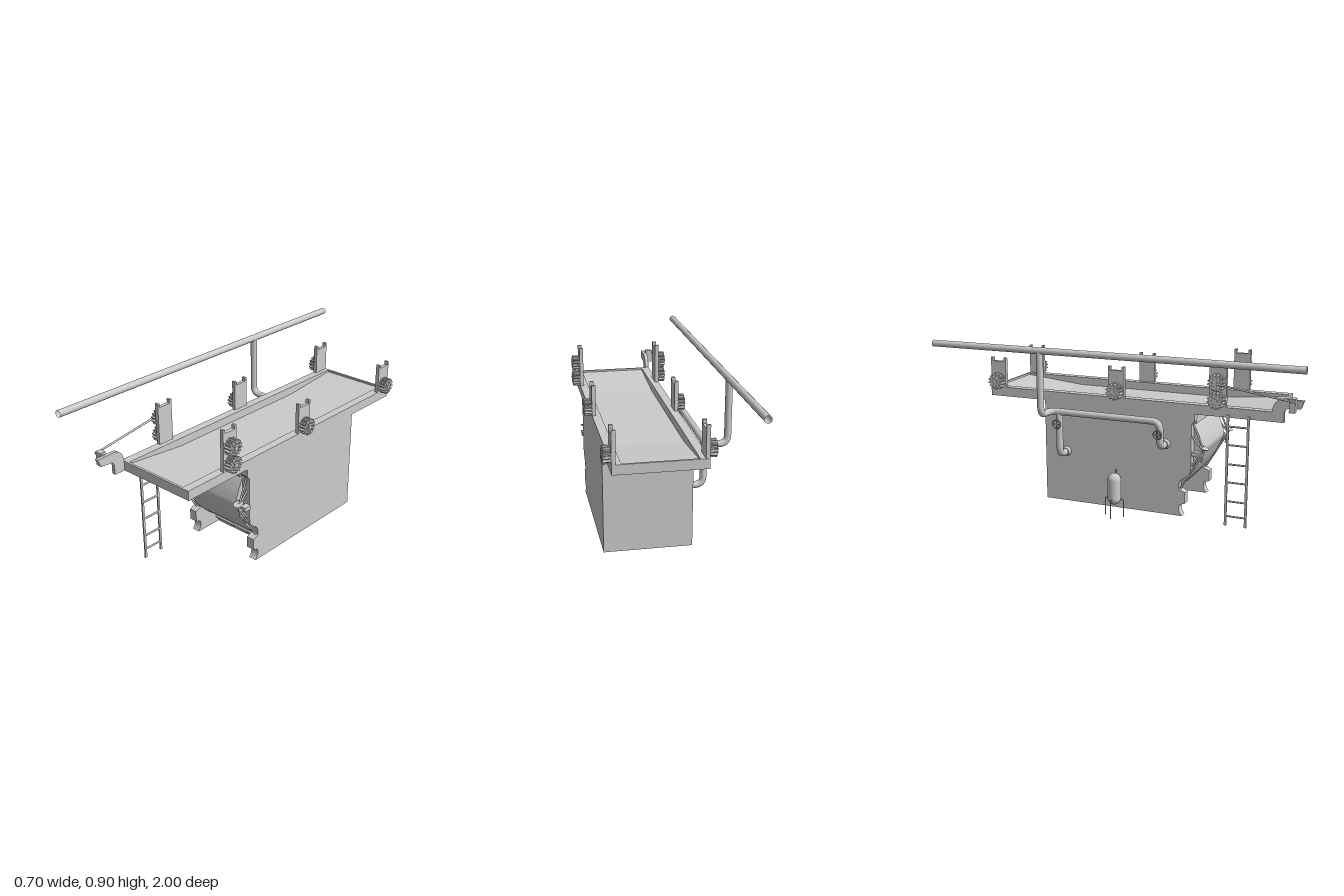
import * as THREE from 'three';

const mat = new THREE.MeshStandardMaterial({ color: 0xcccccc, side: THREE.DoubleSide });
const V = (x, y, z) => new THREE.Vector3(x, y, z);

export function createModel() {
  const root = new THREE.Group();
  root.name = 'machine';

  const add = (name, geo, parent = root) => {
    const m = new THREE.Mesh(geo, mat);
    m.name = name;
    parent.add(m);
    return m;
  };
  const group = (name) => {
    const g = new THREE.Group();
    g.name = name;
    root.add(g);
    return g;
  };
  // box given by its limits
  const box = (name, x0, x1, y0, y1, z0, z1, parent) => {
    const g = new THREE.BoxGeometry(x1 - x0, y1 - y0, z1 - z0);
    g.translate((x0 + x1) / 2, (y0 + y1) / 2, (z0 + z1) / 2);
    return add(name, g, parent);
  };
  // side profile in (z, y), extruded from x0 to x1
  const profile = (name, shape, x0, x1, parent) => {
    const s = Array.isArray(shape) ? new THREE.Shape(shape.map(([z, y]) => new THREE.Vector2(z, y))) : shape;
    const g = new THREE.ExtrudeGeometry(s, { depth: x1 - x0, bevelEnabled: false, curveSegments: 10 });
    g.rotateY(-Math.PI / 2).translate(x1, 0, 0);
    return add(name, g, parent);
  };
  // straight round bar between two points
  const rod = (name, a, b, r, parent, r2 = r, seg = 12) => {
    const m = add(name, new THREE.CylinderGeometry(r2, r, a.distanceTo(b), seg), parent);
    m.position.copy(a).add(b).multiplyScalar(0.5);
    m.quaternion.setFromUnitVectors(V(0, 1, 0), b.clone().sub(a).normalize());
    return m;
  };
  // pipe with rounded elbows at the inner points
  const pipe = (name, pts, r, bend, parent) => {
    const path = new THREE.CurvePath();
    let last = pts[0];
    for (let i = 1; i < pts.length - 1; i++) {
      const p = pts[i];
      const a = p.clone().add(pts[i - 1].clone().sub(p).setLength(bend));
      const b = p.clone().add(pts[i + 1].clone().sub(p).setLength(bend));
      path.add(new THREE.LineCurve3(last, a));
      path.add(new THREE.QuadraticBezierCurve3(a, p, b));
      last = b;
    }
    path.add(new THREE.LineCurve3(last, pts[pts.length - 1]));
    return add(name, new THREE.TubeGeometry(path, 64, r, 16), parent);
  };

  // hopper: filled core and two shaped cheeks
  const hopper = group('hopper');
  box('hopperCore', -0.1, 0.265, 0.035, 0.585, -0.44, 0.12, hopper);
  const cheek = new THREE.Shape();
  cheek.moveTo(-0.44, 0.035);
  cheek.lineTo(0.345, 0.035);
  cheek.quadraticCurveTo(0.32, 0.06, 0.33, 0.095);
  cheek.lineTo(0.36, 0.105);
  cheek.lineTo(0.36, 0.165);
  cheek.lineTo(0.325, 0.18);
  cheek.bezierCurveTo(0.325, 0.25, 0.36, 0.23, 0.385, 0.27);
  cheek.lineTo(0.39, 0.31);
  cheek.lineTo(0.39, 0.53);
  cheek.lineTo(0.405, 0.545);
  cheek.lineTo(0.405, 0.585);
  cheek.lineTo(-0.44, 0.585);
  for (const [x0, x1] of [[-0.145, -0.1], [0.265, 0.31]]) profile('hopperCheek', cheek, x0, x1, hopper);

  // bulging gate between the cheeks
  const gate = new THREE.Shape();
  gate.moveTo(0.1, 0.585);
  gate.lineTo(0.38, 0.585);
  gate.lineTo(0.39, 0.52);
  gate.quadraticCurveTo(0.425, 0.46, 0.44, 0.395);
  gate.quadraticCurveTo(0.44, 0.375, 0.43, 0.36);
  gate.quadraticCurveTo(0.36, 0.18, 0.2, 0.08);
  gate.lineTo(0.1, 0.08);
  const gateGroup = group('gate');
  profile('gateSheet', gate, -0.1, 0.265, gateGroup);
  box('gateTopPanel', -0.087, 0.253, 0.522, 0.575, 0.38, 0.398, gateGroup);
  for (const [z, y] of [[0.2, 0.07], [0.16, 0.055]])
    rod('gateLipBar', V(-0.1, y, z), V(0.265, y, z), 0.012, gateGroup);
  box('gateSill', -0.1, 0.265, 0.035, 0.047, 0.1, 0.19, gateGroup);

  // gate arms with dished pivots
  for (const x of [-0.127, 0.295]) {
    const apex = V(x, 0.39, 0.455);
    for (const [y, z] of [[0.53, 0.395], [0.46, 0.39], [0.31, 0.39], [0.18, 0.33]])
      rod('gateArm', apex, V(x, y, z), 0.005, gateGroup);
    rod('pivotDish', V(x, 0.397, 0.45), V(x, 0.41, 0.455), 0.008, gateGroup, 0.026, 20);
    rod('pivotStem', V(x, 0.33, 0.44), V(x, 0.4, 0.45), 0.005, gateGroup);
    box('pivotBlock', x - 0.01, x + 0.022, 0.36, 0.383, 0.39, 0.43, gateGroup);
  }

  // long tray with a floor that ramps up at both ends
  const tray = group('tray');
  for (const [x0, x1] of [[-0.145, -0.1], [0.265, 0.31]])
    box('traySide', x0, x1, 0.585, 0.635, -0.77, 0.8, tray);
  for (const [z0, z1] of [[-0.77, -0.758], [0.788, 0.8]])
    box('trayEnd', -0.1, 0.265, 0.585, 0.635, z0, z1, tray);
  profile('trayFloor', [[-0.758, 0.585], [0.788, 0.585], [0.788, 0.625], [0.45, 0.592],
    [-0.42, 0.592], [-0.68, 0.618], [-0.758, 0.625]], -0.1, 0.265, tray);

  // toothed gear, facing outward along x
  const teeth = 14;
  const gearShape = new THREE.Shape();
  for (let i = 0; i < teeth; i++) {
    [[0, 0.034], [0.22, 0.044], [0.5, 0.044], [0.72, 0.034]].forEach(([f, r], k) => {
      const a = ((i + f) / teeth) * Math.PI * 2;
      gearShape[i + k === 0 ? 'moveTo' : 'lineTo'](Math.cos(a) * r, Math.sin(a) * r);
    });
  }
  const gear = (side, y, z) => {
    const g = group('gear');
    const face = side < 0 ? -0.182 : 0.347;
    const inner = side < 0 ? -0.145 : 0.31;
    profile('gearWheel', gearShape, Math.min(face, inner), Math.max(face, inner), g).position.set(0, y, z);
    rod('gearHub', V(inner, y, z), V(face + side * 0.005, y, z), 0.012, g);
    for (let i = 0; i < 8; i++) {
      const a = (i * Math.PI) / 4;
      const yy = y + Math.sin(a) * 0.024, zz = z + Math.cos(a) * 0.024;
      rod('gearBolt', V(face, yy, zz), V(face + side * 0.004, yy, zz), 0.006, g, 0.006, 8);
    }
  };

  // notched posts on both rims, the front pair taller with two gears
  for (const [z, top, count] of [[0.523, 0.853, 2], [-0.025, 0.797, 1], [-0.722, 0.797, 1]]) {
    for (const side of [-1, 1]) {
      const x0 = side < 0 ? -0.145 : 0.29;
      const w = 0.045, n = top - 0.02;
      profile('gearPost', [[z - w, 0.63], [z + w, 0.63], [z + w, top], [z + w - 0.012, top], [z + w - 0.012, n],
        [z - w + 0.012, n], [z - w + 0.012, top], [z - w, top]], x0, x0 + 0.02);
      for (let i = 0; i < count; i++) gear(side, 0.67 + i * 0.089, z);
    }
  }

  // curled bracket and pull rod at the front corner
  const lever = group('pullLever');
  const hook = new THREE.Shape();
  hook.moveTo(0.8, 0.585);
  hook.lineTo(0.86, 0.585);
  hook.lineTo(0.86, 0.635);
  hook.quadraticCurveTo(0.865, 0.66, 0.89, 0.655);
  hook.lineTo(0.94, 0.66);
  hook.lineTo(0.955, 0.7);
  hook.lineTo(0.85, 0.703);
  hook.quadraticCurveTo(0.8, 0.69, 0.8, 0.635);
  profile('hookBracket', hook, -0.145, -0.125, lever);
  box('leverBlock', -0.182, -0.145, 0.645, 0.715, 0.89, 0.92, lever);
  rod('pullRod', V(-0.186, 0.7, 0.92), V(-0.186, 0.757, 0.53), 0.005, lever);
  rod('leverPin', V(-0.19, 0.7, 0.91), V(-0.14, 0.7, 0.91), 0.008, lever);

  // ladder below the tray
  const ladder = group('ladder');
  for (const z of [0.58, 0.685]) box('ladderRail', -0.15, -0.142, 0.02, 0.6, z - 0.006, z + 0.006, ladder);
  for (const y of [0.07, 0.15, 0.25, 0.345, 0.445, 0.54])
    rod('ladderRung', V(-0.146, y, 0.58), V(-0.146, y, 0.685), 0.005, ladder, 0.005, 8);

  // overhead main, riser and two feeds into the hopper
  const pipes = group('pipework');
  const r = 0.018;
  pipe('mainPipe', [V(-0.335, 0.887, -1), V(-0.335, 0.887, 1)], r, 0, pipes);
  pipe('riserPipe', [V(-0.335, 0.887, -0.365), V(-0.335, 0.55, -0.365), V(-0.225, 0.55, -0.365),
    V(-0.225, 0.55, -0.28)], r, 0.045, pipes);
  pipe('frontFeed', [V(-0.225, 0.55, -0.32), V(-0.225, 0.55, 0.25), V(-0.225, 0.415, 0.25),
    V(-0.145, 0.415, 0.25)], r, 0.045, pipes);
  pipe('rearFeed', [V(-0.225, 0.55, -0.315), V(-0.225, 0.315, -0.315), V(-0.145, 0.315, -0.315)], r, 0.045, pipes);
  for (const [y, z] of [[0.415, 0.25], [0.315, -0.315]]) {
    rod('feedFlange', V(-0.165, y, z), V(-0.145, y, z), 0.022, pipes, 0.027, 16);
    // hand wheel valve
    rod('valveStem', V(-0.265, 0.49, z), V(-0.225, 0.49, z), 0.005, pipes);
    const wheel = add('valveWheel', new THREE.TorusGeometry(0.022, 0.004, 8, 20), pipes);
    wheel.rotation.y = Math.PI / 2;
    wheel.position.set(-0.26, 0.49, z);
    for (const [dy, dz] of [[0.022, 0], [0, 0.022]])
      rod('valveSpoke', V(-0.26, 0.49 - dy, z - dz), V(-0.26, 0.49 + dy, z + dz), 0.003, pipes, 0.003, 6);
  }

  // upright pressure tank on bent legs
  const tank = group('tank');
  add('tankShell', new THREE.CapsuleGeometry(0.036, 0.1, 8, 24), tank).position.set(-0.184, 0.15, -0.02);
  for (const [dx, dz] of [[-1, 0], [0, 1], [0, -1]]) {
    const at = (d, y) => V(-0.184 + dx * d, y, -0.02 + dz * d);
    pipe('tankLeg', [at(0.03, 0.098), at(0.052, 0.098), at(0.052, 0)], 0.003, 0.008, tank);
  }
  rod('tankNozzle', V(-0.165, 0.22, -0.02), V(-0.165, 0.25, -0.02), 0.004, tank);

  return root;
}
